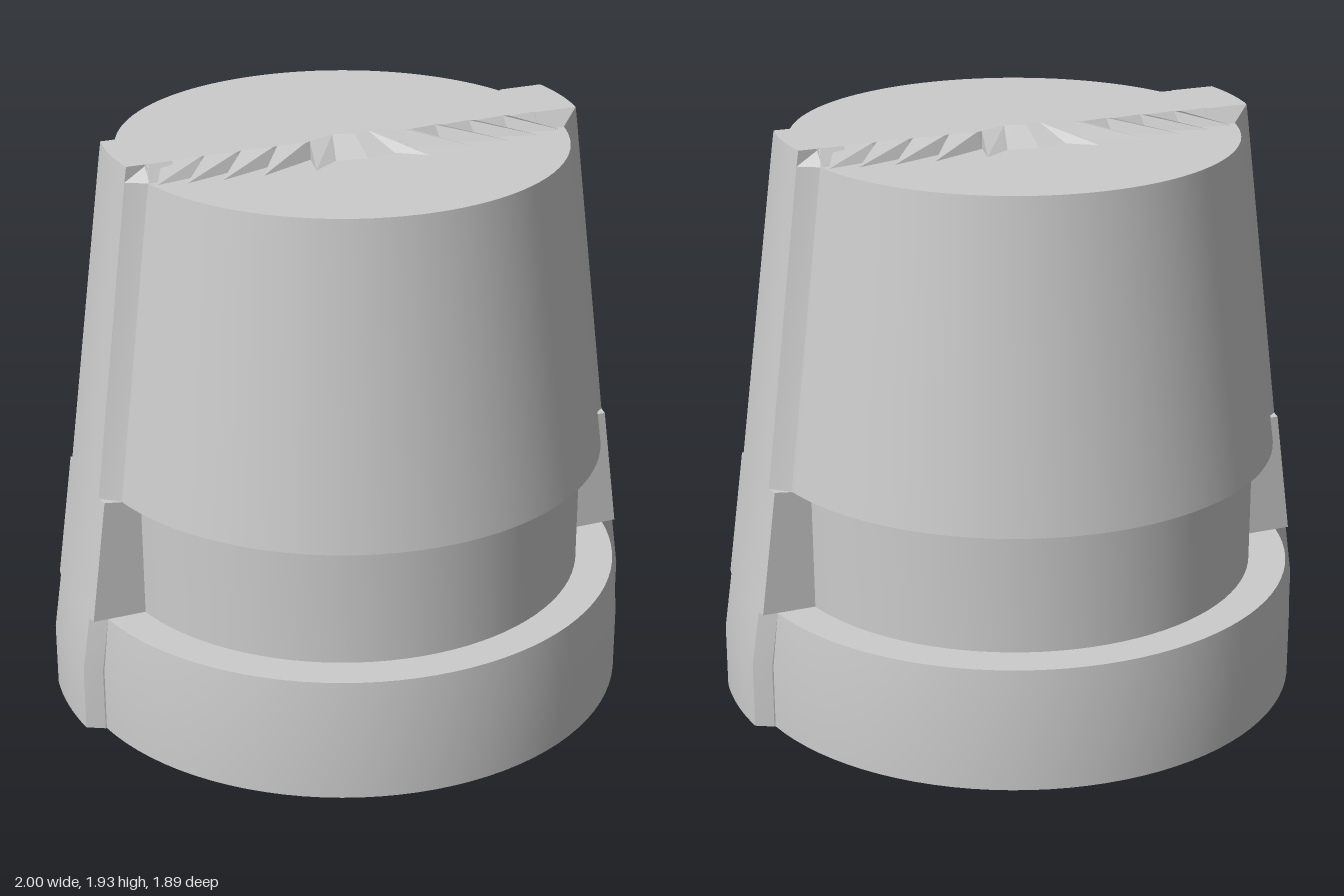
import * as THREE from 'three';
import { toCreasedNormals } from 'three/addons/utils/BufferGeometryUtils.js';

const grey = new THREE.MeshStandardMaterial({ color: 0xcccccc });

// Skin a row of equal cross-sections (anticlockwise seen from the far end), capped at both ends
function loft(sections) {
  const pos = [];
  const n = sections[0].length;
  const tri = (a, b, c) => pos.push(...a, ...b, ...c);
  for (let s = 0; s < sections.length - 1; s++) {
    const a = sections[s], b = sections[s + 1];
    for (let i = 0; i < n; i++) {
      const j = (i + 1) % n;
      tri(a[i], a[j], b[j]);
      tri(a[i], b[j], b[i]);
    }
  }
  const first = sections[0], last = sections[sections.length - 1];
  for (let i = 1; i < n - 1; i++) {
    tri(first[0], first[i + 1], first[i]);
    tri(last[0], last[i], last[i + 1]);
  }
  const g = new THREE.BufferGeometry();
  g.setAttribute('position', new THREE.Float32BufferAttribute(pos, 3));
  g.computeVertexNormals();
  return g;
}

function part(name, geometry) {
  const mesh = new THREE.Mesh(geometry, grey);
  mesh.name = name;
  return mesh;
}

// Turned plug: stepped bore, base ring, groove and tapered crown
function makeBody() {
  const profile = [
    [0, 1.7], [0.53, 1.7], [0.53, 0.21], [0.61, 0.21], [0.61, 0],
    [0.945, 0], [0.945, 0.22], [0.925, 0.41], [0.8, 0.41], [0.8, 0.83],
    [0.868, 0.83], [0.73, 1.88], [0, 1.88],
  ].map(([x, y]) => new THREE.Vector2(x, y));
  return toCreasedNormals(new THREE.LatheGeometry(profile, 96), 0.5);
}

// Side rib: shoulder x, shoulder half width, outer radius and outer half width at each height
function makeRib() {
  const levels = [
    [0, 0.93, 0.19, 1, 0.16],
    [0.22, 0.93, 0.19, 1, 0.16],
    [0.41, 0.905, 0.19, 0.973, 0.16],
    [0.41, 0.78, 0.19, 0.973, 0.19],
    [0.83, 0.78, 0.185, 0.918, 0.185],
    [0.83, 0.84, 0.2, 0.918, 0.146],
    [1.88, 0.71, 0.165, 0.787, 0.13],
    [1.93, 0.7, 0.13, 0.78, 0.13],
  ];
  const steps = 8;
  return toCreasedNormals(loft(levels.map(([y, xi, zi, r, zo]) => {
    const ring = [[0.62, y, zi], [xi, y, zi]];
    for (let i = 0; i <= steps; i++) {
      const z = zo * (1 - 2 * i / steps);
      ring.push([Math.sqrt(r * r - z * z), y, z]);
    }
    ring.push([xi, y, -zi], [0.62, y, -zi]);
    return ring;
  })), 0.3);
}

// Raised bar across the top with slanted teeth: foot x, foot z, crest x, crest z
function makeRidge() {
  const half = [
    [0.1, 0.19, 0.05, 0.09],
    [0.19, 0.25, 0.07, 0.085],
    [0.17, 0.15, 0.16, 0.12],
    [0.36, 0.235, 0.18, 0.13],
    [0.28, 0.15, 0.27, 0.12],
    [0.49, 0.225, 0.29, 0.13],
    [0.4, 0.15, 0.39, 0.12],
    [0.6, 0.21, 0.41, 0.13],
    [0.52, 0.155, 0.51, 0.12],
    [0.69, 0.19, 0.53, 0.13],
    [0.66, 0.16, 0.65, 0.12],
    [0.705, 0.165, 0.71, 0.13],
  ];
  const mirrored = half.map(([fx, fz, cx, cz]) => [-fx, fz, -cx, cz]).reverse();
  const rows = [...mirrored, [0, 0.21, 0, 0.1], ...half];
  return loft(rows.map(([fx, fz, cx, cz]) => [
    [fx, 1.88, fz], [fx, 1.88, -fz], [cx, 1.93, -cz], [cx, 1.93, cz],
  ]));
}

export function createModel() {
  const model = new THREE.Group();
  model.name = 'plug';
  model.add(part('body', makeBody()), part('toothedRidge', makeRidge()));

  // Two opposite ribs
  const rib = makeRib();
  const left = part('leftRib', rib);
  const right = part('rightRib', rib);
  right.rotation.y = Math.PI;
  model.add(left, right);
  return model;
}
